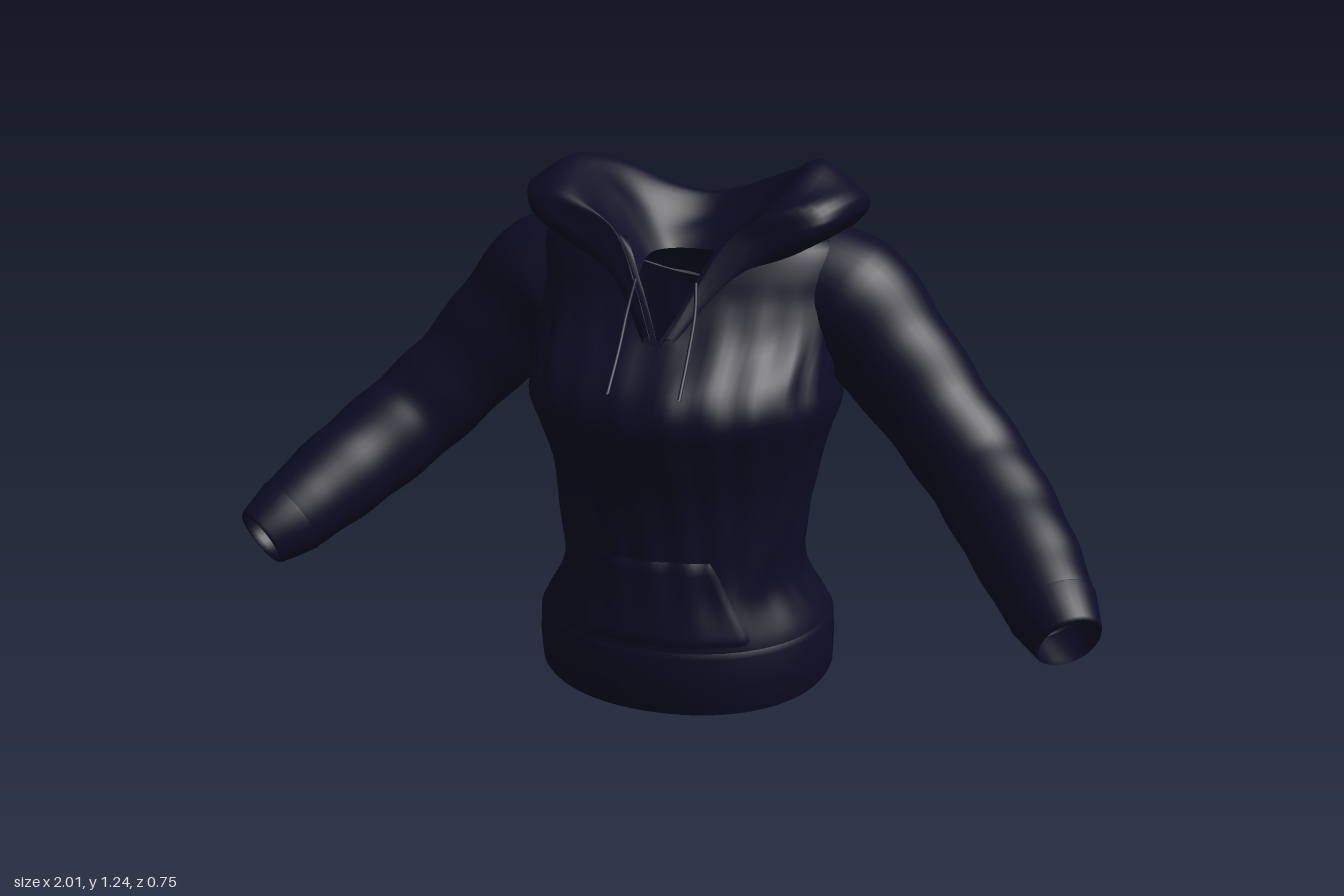
import * as THREE from 'three';

const navy = new THREE.MeshStandardMaterial({ color: 0x0c0c24, side: THREE.DoubleSide });
navy.name = 'navy cloth';

// Surface through fn(u, v); wrap closes it around u, and quads wholly inside hidden() are left out
function surface(name, nu, nv, wrap, fn, hidden = () => false) {
  const pos = [], index = [], inside = [], cols = wrap ? nu : nu + 1;
  for (let j = 0; j <= nv; j++)
    for (let i = 0; i < cols; i++) {
      const p = fn(i / nu, j / nv);
      pos.push(p.x, p.y, p.z);
      inside.push(hidden(p));
    }
  for (let j = 0; j < nv; j++)
    for (let i = 0; i < nu; i++) {
      const k = (i + 1) % cols;
      const a = j * cols + i, b = j * cols + k, c = a + cols, d = b + cols;
      if (![a, b, c, d].every(n => inside[n])) index.push(a, c, b, b, c, d);
    }
  const g = new THREE.BufferGeometry();
  g.setAttribute('position', new THREE.Float32BufferAttribute(pos, 3));
  g.setIndex(index);
  g.computeVertexNormals();
  const m = new THREE.Mesh(g, navy);
  m.name = name;
  return m;
}

// Torso stations: key, half width, front z, back z, height
const stations = [
  [0, 0.355, 0.25, -0.343, 0], [0.08, 0.355, 0.263, -0.35, 0.08],
  [0.17, 0.347, 0.262, -0.350, 0.17], [0.28, 0.292, 0.245, -0.30, 0.28],
  [0.39, 0.293, 0.235, -0.27, 0.39], [0.52, 0.312, 0.245, -0.315, 0.52],
  [0.63, 0.342, 0.275, -0.338, 0.63], [0.71, 0.365, 0.293, -0.33, 0.71],
  [0.78, 0.36, 0.268, -0.322, 0.78], [0.87, 0.365, 0.182, -0.312, 0.87],
  [0.95, 0.37, 0.133, -0.295, 0.95], [1.01, 0.37, 0.11, -0.27, 1.01],
  [1.06, 0.355, 0.09, -0.245, 1.06], [1.09, 0.32, 0.08, -0.23, 1.085],
  [1.12, 0.22, 0.065, -0.19, 1.07]];

// Smooth interpolation of one station column
function column(key, c) {
  const n = stations.length;
  let i = 0;
  while (i < n - 2 && stations[i + 1][0] < key) i++;
  const S = k => stations[Math.min(n - 1, Math.max(0, k))];
  const slope = k => (S(k + 1)[c] - S(k - 1)[c]) / (S(k + 1)[0] - S(k - 1)[0]);
  const h = S(i + 1)[0] - S(i)[0];
  const t = THREE.MathUtils.clamp((key - S(i)[0]) / h, 0, 1), t2 = t * t, t3 = t2 * t;
  return (2 * t3 - 3 * t2 + 1) * S(i)[c] + (t3 - 2 * t2 + t) * h * slope(i)
    + (3 * t2 - 2 * t3) * S(i + 1)[c] + (t3 - t2) * h * slope(i + 1);
}

// Point on the body; the front dips into a V neckline
function bodyPoint(angle, key, puff = 0) {
  const power = v => Math.sign(v) * Math.pow(Math.abs(v), 0.95);
  const c = power(Math.cos(angle)), s = power(Math.sin(angle));
  const fold = 0.004 * Math.sin(angle * 9 + key * 14) * Math.sin(key * 11 + angle * 2)
    + 0.003 * Math.sin(angle * 23 - key * 9);
  const soft = key > 0.18 && key < 1 ? Math.min(1, (key - 0.18) * 8, (1 - key) * 8) : 0;
  const grow = puff + fold * soft;
  const w = column(key, 1), zb = column(key, 3), zc = (column(key, 2) + zb) / 2;
  const dip = Math.max(0, key - 0.87) * Math.max(0, 1 - Math.abs(c) * w / 0.13) * Math.max(0, s);
  const zEnd = s > 0 ? column(key - dip, 2) : zb;
  const tilt = 0.022 * Math.min(1, 1 - s) * Math.max(0, 1 - key / 0.2);
  return new THREE.Vector3(c * (w + grow), column(key - dip, 4) + tilt,
    zc + Math.abs(s) * (zEnd - zc + Math.sign(s) * grow));
}

// Sleeve centre line, with radii
const armPath = new THREE.CatmullRomCurve3([
  [0.24, 0.975, -0.11], [0.36, 0.925, -0.11], [0.47, 0.82, -0.10], [0.588, 0.688, -0.07],
  [0.69, 0.585, -0.018], [0.772, 0.508, 0.07], [0.843, 0.443, 0.168], [0.90, 0.388, 0.255],
  [0.946, 0.350, 0.328]].map(p => new THREE.Vector3(...p)));
const armRadii = [0.14, 0.162, 0.139, 0.125, 0.123, 0.12, 0.112, 0.097, 0.073];
const armSamples = Array.from({ length: 25 }, (_, i) => armPath.getPoint(i / 48));

function armPoint(angle, t, scale = 1) {
  const centre = armPath.getPoint(t), dir = armPath.getTangent(t);
  const up = new THREE.Vector3().crossVectors(new THREE.Vector3(0, 0, 1), dir).normalize();
  const side = new THREE.Vector3().crossVectors(dir, up);
  const f = t * 8, i = Math.min(7, Math.floor(f));
  const crease = 1 + 0.018 * Math.sin(t * 45 + 2 * Math.sin(angle)) * Math.sin(Math.PI * t);
  const r = THREE.MathUtils.lerp(armRadii[i], armRadii[i + 1], f - i) * scale * crease;
  return centre.addScaledVector(up, r * Math.cos(angle))
    .addScaledVector(side, r * 0.94 * Math.sin(angle));
}

// Armholes: torso within the sleeve, and sleeve within the torso
const inSleeve = p => {
  const q = new THREE.Vector3(Math.abs(p.x), p.y, p.z);
  return q.x > 0.28 && armSamples.some(s => s.distanceTo(q) < 0.115);
};
const inTorso = p => p.y < 1.05 && Math.abs(p.x) < column(p.y, 1) - 0.05;

// Hood sections from the neckline tip round to the centre back:
// inner edge, inner slope, rim, outer edge, bulge, bottom
const hoodHalf = [
  [[0.004, 0.86, 0.19], [0.012, 0.875, 0.187], [0.02, 0.885, 0.183],
    [0.03, 0.885, 0.18], [0.034, 0.875, 0.18], [0.034, 0.862, 0.18]],
  [[0.042, 0.91, 0.145], [0.055, 0.945, 0.14], [0.07, 0.985, 0.127],
    [0.09, 0.985, 0.122], [0.095, 0.965, 0.125], [0.09, 0.935, 0.128]],
  [[0.08, 0.97, 0.085], [0.10, 1.04, 0.09], [0.135, 1.095, 0.08],
    [0.185, 1.09, 0.075], [0.19, 1.06, 0.08], [0.165, 1.01, 0.085]],
  [[0.088, 1.0, 0.03], [0.16, 1.10, 0.03], [0.24, 1.17, 0.045],
    [0.335, 1.155, 0.05], [0.34, 1.12, 0.05], [0.28, 1.06, 0.02]],
  [[0.09, 1.02, -0.05], [0.18, 1.14, -0.08], [0.285, 1.24, -0.12],
    [0.395, 1.165, -0.14], [0.39, 1.125, -0.17], [0.33, 1.06, -0.17]],
  [[0.06, 1.02, -0.105], [0.12, 1.10, -0.15], [0.20, 1.195, -0.215],
    [0.26, 1.09, -0.30], [0.245, 1.01, -0.32], [0.21, 0.955, -0.26]],
  [[0, 1.02, -0.12], [0, 1.08, -0.19], [0, 1.13, -0.26],
    [0, 1.05, -0.352], [0, 0.97, -0.376], [0, 0.905, -0.30]]];
// The right peak sits a little lower
const hoodSections = [...hoodHalf, ...hoodHalf.slice(0, -1).reverse()
  .map(s => s.map(([x, y, z]) => [-x, y > 1.2 ? y - 0.018 : y, z]))];
const hoodRails = hoodHalf[0].map((_, k) =>
  new THREE.CatmullRomCurve3(hoodSections.map(s => new THREE.Vector3(...s[k]))));

function hoodPoint(u, v) {
  const p = new THREE.CatmullRomCurve3(hoodRails.map(r => r.getPoint(u))).getPoint(v);
  const ripple = 0.006 * Math.sin(v * 26 + 3 * Math.sin(u * 12)) * Math.sin(Math.PI * u);
  p.y += ripple * Math.sin(Math.PI * v);
  return p;
}

export function createModel() {
  const model = new THREE.Group();
  model.name = 'hoodedSweatshirt';
  const turn = Math.PI * 2;

  model.add(surface('torso', 112, 80, true, (u, v) => bodyPoint(u * turn, v * 1.12), inSleeve));

  // Hem band, folded under at the bottom and in at the top
  const hem = [[0.02, -0.012], [0, -0.004], [0.006, 0.004], [0.08, 0.006], [0.15, 0.006], [0.17, -0.003]];
  model.add(surface('hemBand', 96, hem.length - 1, true, (u, v) =>
    bodyPoint(u * turn, ...hem[Math.round(v * (hem.length - 1))])));

  // Front pouch pocket, narrower at the top
  model.add(surface('pocket', 24, 12, false, (u, v) => {
    const spread = THREE.MathUtils.lerp(0.72, 0.45, v * v);
    const edge = u === 0 || u === 1 || v === 0 || v === 1;
    return bodyPoint(Math.PI / 2 + (u * 2 - 1) * spread, 0.17 + 0.21 * v, edge ? -0.003 : 0.006);
  }));

  model.add(surface('hood', 96, 32, false, hoodPoint));

  for (const side of [1, -1]) {
    const label = side > 0 ? 'left' : 'right';
    const flip = p => { p.x *= side; return p; };
    model.add(surface(label + 'Sleeve', 40, 56, true,
      (u, v) => flip(armPoint(u * turn, v * 0.98)), inTorso));

    // Cuff with a turned-in opening
    const cuff = [[0.87, 0.98], [0.88, 1.03], [0.94, 1.03], [0.99, 1.02], [1, 0.97], [0.98, 0.88], [0.9, 0.8]];
    model.add(surface(label + 'Cuff', 32, cuff.length - 1, true, (u, v) =>
      flip(armPoint(u * turn, ...cuff[Math.round(v * (cuff.length - 1))]))));

    // Drawstring hanging from the neckline
    const cord = new THREE.CatmullRomCurve3([[0.07, 1.0, 0.12], [0.078, 0.94, 0.152],
      [0.08, 0.86, 0.21], [0.082, 0.78, 0.282]].map(p => flip(new THREE.Vector3(...p))));
    const string = new THREE.Mesh(new THREE.TubeGeometry(cord, 20, 0.004, 6), navy);
    string.name = label + 'Drawstring';
    model.add(string);
  }
  return model;
}
